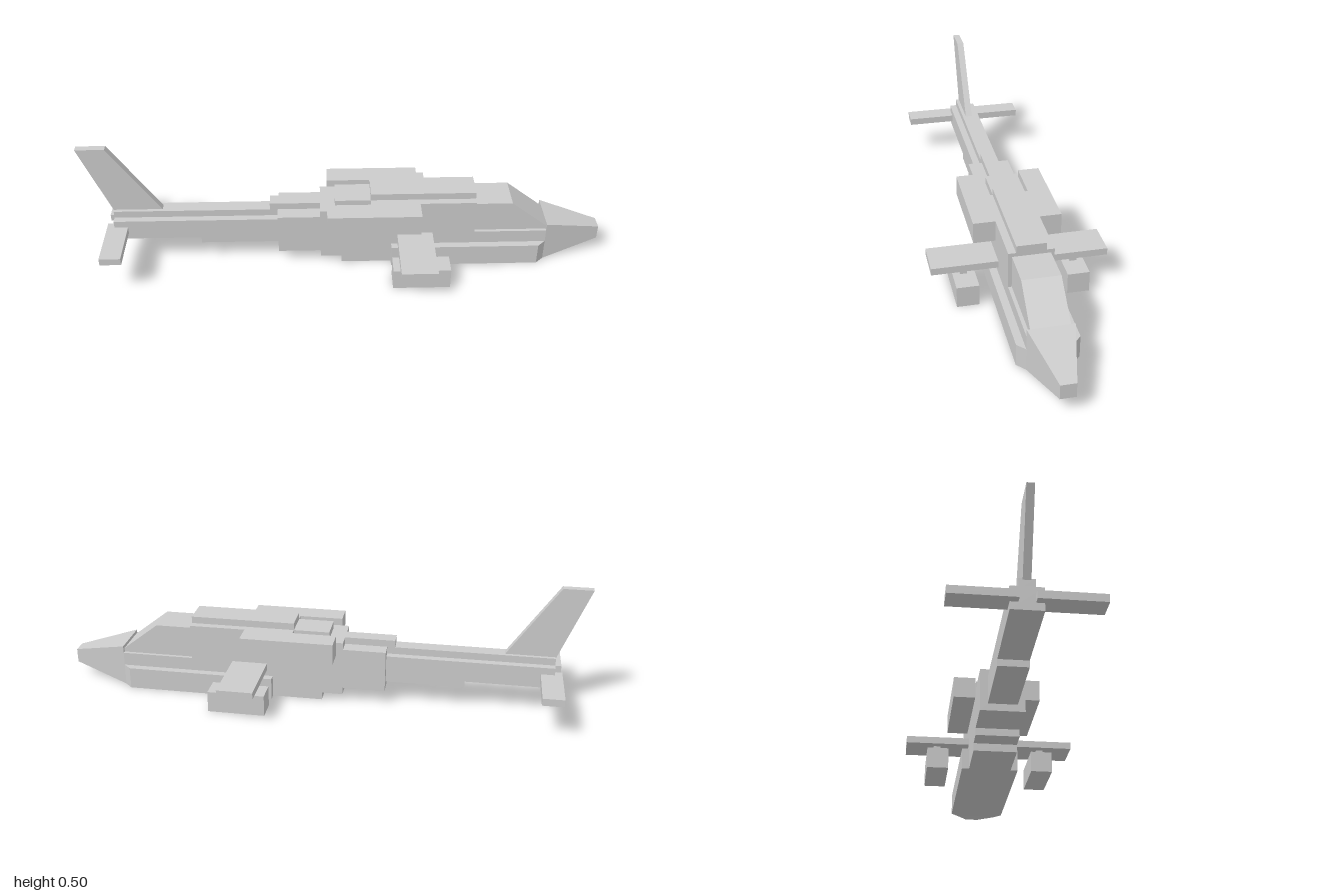
import * as THREE from 'three';

const material = new THREE.MeshStandardMaterial({ color: 0xcccccc, flatShading: true });

export function createModel() {
  const model = new THREE.Group();
  model.name = 'helicopterGunship';

  const add = (name, geometry) => {
    const mesh = new THREE.Mesh(geometry, material);
    mesh.name = name;
    model.add(mesh);
    return mesh;
  };
  // Box given by its extents
  const box = (name, x0, x1, y0, y1, z0, z1) =>
    add(name, new THREE.BoxGeometry(x1 - x0, y1 - y0, z1 - z0)
      .translate((x0 + x1) / 2, (y0 + y1) / 2, (z0 + z1) / 2));
  const extrude = (points, depth) => new THREE.ExtrudeGeometry(
    new THREE.Shape(points.map(([x, y]) => new THREE.Vector2(x, y))),
    { depth, bevelEnabled: false });
  // Side profile extruded evenly about the centre plane
  const profile = (name, points, half) =>
    add(name, extrude(points, half * 2).translate(0, 0, -half));

  // Fuselage with stepped belly and roof
  profile('fuselage', [
    [-0.26, 0.058], [-0.097, 0.058], [-0.097, 0.03], [-0.016, 0.03], [-0.016, 0],
    [0.78, 0], [0.78, 0.137], [0.5, 0.137], [0.5, 0.275], [0.097, 0.275],
    [0.097, 0.247], [-0.097, 0.247], [-0.097, 0.22], [-0.26, 0.22],
  ], 0.082);
  profile('canopy', [
    [0.5, 0.137], [0.785, 0.137], [0.785, 0.148], [0.64, 0.261], [0.5, 0.261],
  ], 0.069);

  // Nose: a box narrowed towards its tip
  const nose = new THREE.BoxGeometry(0.22, 0.165, 0.164);
  const p = nose.attributes.position;
  for (let i = 0; i < p.count; i++) {
    if (p.getX(i) > 0) p.setXYZ(i, p.getX(i), p.getY(i) / 3, p.getZ(i) / 3);
  }
  nose.translate(0.89, 0.0825, 0);
  nose.computeVertexNormals();
  add('nose', nose);

  // Side fairings with chamfered front corners
  add('sideFairings', extrude([
    [0.178, -0.11], [0.75, -0.11], [0.78, -0.082],
    [0.78, 0.082], [0.75, 0.11], [0.178, 0.11],
  ], 0.085).rotateX(-Math.PI / 2));

  // Roof
  box('roofHousing', 0.097, 0.5, 0.26, 0.302, -0.054, 0.054);
  box('rearRoofStep', -0.04, 0.11, 0.24, 0.275, -0.054, 0.054);
  box('rearSpine', -0.29, -0.08, 0.2, 0.247, -0.027, 0.027);

  // Tail
  box('tailBoom', -0.89, -0.25, 0.11, 0.192, -0.054, 0.054);
  box('tailBoomKeel', -0.56, -0.25, 0.085, 0.115, -0.054, 0.054);
  box('tailBoomSpine', -0.89, -0.25, 0.18, 0.22, -0.027, 0.027);
  profile('tailFin', [
    [-0.89, 0.215], [-0.7, 0.215], [-0.89, 0.495], [-1, 0.495],
  ], 0.0135);

  // Paired parts
  for (const [side, s] of [['left', 1], ['right', -1]]) {
    const pair = (part, x0, x1, y0, y1, z0, z1) =>
      box(side + part, x0, x1, y0, y1, Math.min(s * z0, s * z1), Math.max(s * z0, s * z1));
    pair('Engine', -0.07, 0.285, 0.193, 0.275, 0.082, 0.164);
    pair('Wing', 0.2, 0.337, 0.11, 0.137, 0.075, 0.329);
    pair('Pylon', 0.23, 0.31, 0.08, 0.112, 0.193, 0.22);
    pair('Pod', 0.177, 0.395, 0, 0.082, 0.164, 0.247);
    pair('Tailplane', -0.918, -0.838, 0.137, 0.165, 0.027, 0.247);
  }
  return model;
}
